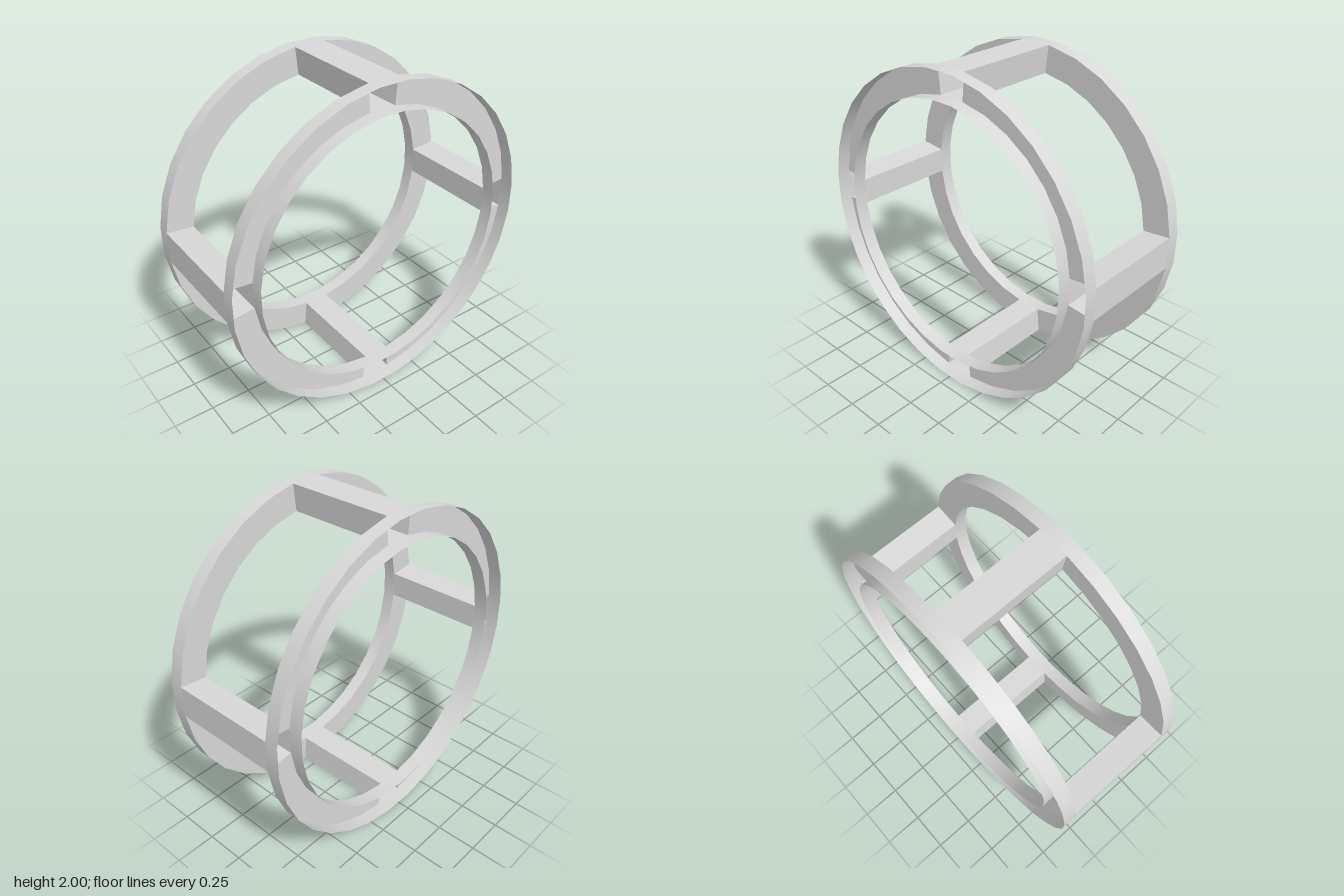
import * as THREE from 'three';

const SIDES = 32;
const STEP = (Math.PI * 2) / SIDES;   // one facet of the hoop
const HALF = STEP / 2;
const OUTER = 1 / Math.cos(HALF);     // corner radius, flats touch 1.0
const INNER = 0.838;
const Z_OUT = 0.42;                   // open rim of each hoop
const Z_IN = 0.335;                   // recessed face of each hoop

export function createModel() {
  const grey = new THREE.MeshStandardMaterial({ color: 0xd8d8d8, side: THREE.DoubleSide });
  grey.name = 'lightGrey';

  const model = new THREE.Group();
  model.name = 'openWheelFrame';

  const add = (parent, name, geometry) => {
    const mesh = new THREE.Mesh(geometry, grey);
    mesh.name = name;
    parent.add(mesh);
  };

  // Two hoops: channels open outwards, floored between the crossbars
  for (const side of [1, -1]) {
    const hoop = new THREE.Group();
    hoop.name = side > 0 ? 'frontHoop' : 'backHoop';
    for (const [name, r] of [['outerBand', OUTER], ['innerBand', INNER]]) {
      const band = new THREE.CylinderGeometry(r, r, Z_OUT - Z_IN, SIDES, 1, true, HALF);
      band.rotateX(Math.PI / 2).translate(0, 0, side * (Z_OUT + Z_IN) / 2);
      add(hoop, name, band);
    }
    for (let q = 0; q < 4; q++) {
      const face = new THREE.RingGeometry(INNER, OUTER, 7, 1, HALF, STEP * 7);
      if (side < 0) face.rotateY(Math.PI);
      face.rotateZ(q * Math.PI / 2).translate(0, 0, side * Z_IN);
      add(hoop, 'channelFloor', face);
    }
    model.add(hoop);
  }

  // Four hollow crossbars, open at both ends into the channels
  for (let q = 0; q < 4; q++) {
    const bar = new THREE.Group();
    bar.name = 'crossbar';
    for (const [name, r, turn] of [['barOuterWall', OUTER, 1], ['barInnerWall', INNER, -1]]) {
      const wall = new THREE.PlaneGeometry(Z_IN * 2, 2 * r * Math.sin(HALF));
      wall.rotateY(turn * Math.PI / 2).translate(r * Math.cos(HALF), 0, 0);
      add(bar, name, wall);
    }
    for (const s of [1, -1]) {
      const wall = new THREE.PlaneGeometry(OUTER - INNER, Z_IN * 2);
      wall.rotateX(-s * Math.PI / 2).translate((OUTER + INNER) / 2, 0, 0).rotateZ(s * HALF);
      add(bar, 'barSideWall', wall);
    }
    bar.rotation.z = q * Math.PI / 2;
    model.add(bar);
  }

  model.position.y = 1;
  const root = new THREE.Group();
  root.name = 'model';
  root.add(model);
  return root;
}
